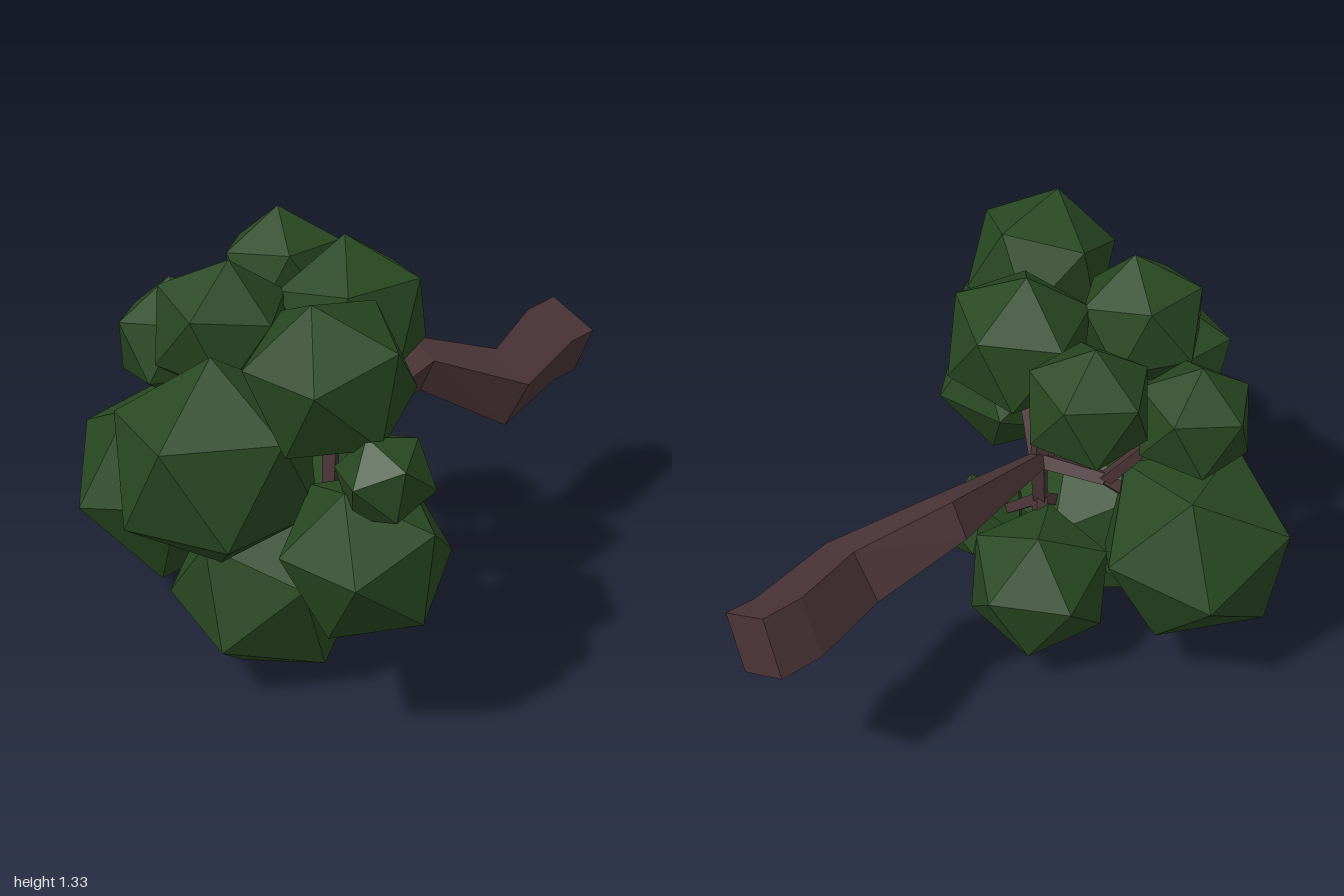
import * as THREE from 'three';

const leafMaterial = new THREE.MeshStandardMaterial({ color: 0x284721, flatShading: true });
const barkMaterial = new THREE.MeshStandardMaterial({ color: 0x4a3436, flatShading: true });
const V = (p) => new THREE.Vector3(...p);

// Rotation frame from a main direction and a second, roughly neighbouring one
function frame(a, b) {
  const x = a.clone().normalize();
  const y = b.clone().addScaledVector(x, -b.dot(x)).normalize();
  return new THREE.Matrix4().makeBasis(x, y, x.clone().cross(y));
}

// Icosahedron turned so that two neighbouring corners point along a and b
function leafClump(name, centre, radius, a, b) {
  const t = (1 + Math.sqrt(5)) / 2;
  const rest = frame(V([1, t, 0]), V([-1, t, 0])).invert();
  const geometry = new THREE.IcosahedronGeometry(radius, 0);
  geometry.applyMatrix4(frame(V(a), V(b)).multiply(rest));
  const mesh = new THREE.Mesh(geometry, leafMaterial);
  mesh.position.set(...centre);
  mesh.name = name;
  return mesh;
}

// Four-sided limb lofted through [x, y, z, radius] stations
function limb(name, stations) {
  const points = stations.map((s) => V(s.slice(0, 3)));
  const positions = [];
  const index = [];
  const last = points.length - 1;
  points.forEach((p, i) => {
    const tangent = points[Math.min(i + 1, last)].clone().sub(points[Math.max(i - 1, 0)]).normalize();
    const turn = new THREE.Quaternion().setFromUnitVectors(V([0, 0, 1]), tangent);
    for (let k = 0; k < 4; k++) {
      const angle = THREE.MathUtils.degToRad(20 + 90 * k);
      const corner = V([Math.cos(angle), Math.sin(angle), 0]).multiplyScalar(stations[i][3]);
      positions.push(...corner.applyQuaternion(turn).add(p).toArray());
      if (i < last) {
        const a = i * 4 + k, b = i * 4 + ((k + 1) % 4);
        index.push(a, b, b + 4, a, b + 4, a + 4);
      }
    }
  });
  const e = last * 4;
  index.push(0, 2, 1, 0, 3, 2, e, e + 1, e + 2, e, e + 2, e + 3);
  const geometry = new THREE.BufferGeometry();
  geometry.setAttribute('position', new THREE.Float32BufferAttribute(positions, 3));
  geometry.setIndex(index);
  geometry.computeVertexNormals();
  const mesh = new THREE.Mesh(geometry, barkMaterial);
  mesh.name = name;
  return mesh;
}

export function createModel() {
  const tree = new THREE.Group();
  tree.name = 'tree';

  // Crooked trunk, running forward from its cut end
  tree.add(limb('trunk', [
    [-0.025, 0.65, -1, 0.134],
    [-0.025, 0.643, -0.87, 0.134],
    [0.063, 0.613, -0.555, 0.127],
    [-0.07, 0.745, -0.28, 0.09],
    [0.02, 0.67, 0.22, 0.03],
  ]));

  // Foliage: name, centre, radius, two corner directions
  const clumps = [
    ['leftLowerFoliage', [-0.45, 0.477, 0.435], 0.335, [-0.29, 0.125, 0.1], [-0.24, -0.23, 0.08]],
    ['frontFoliage', [0.06, 0.775, 0.71], 0.325, [0.08, 0.14, 0.28], [-0.09, -0.14, 0.28]],
    ['bottomFoliage', [0.03, 0.298, 0.48], 0.31, [-0.07, -0.28, 0.05], [0.24, -0.19, 0]],
    ['rightMiddleFoliage', [0.51, 0.585, 0.56], 0.26, [-0.02, -0.235, -0.11], [0.2, -0.13, 0]],
    ['rightSmallFoliage', [0.59, 0.85, 0.57], 0.145, [0.05, 0.12, -0.09], [-0.03, 0.12, 0.07]],
    ['rightUpperFoliage', [0.385, 1.085, 0.57], 0.255, [0.01, 0.235, 0.08], [0, 0.18, -0.185]],
    ['topFoliage', [-0.09, 1.1, 0.54], 0.22, [0.04, 0.21, 0], [0.21, 0.05, 0]],
    ['leftUpperFoliage', [-0.42, 0.94, 0.425], 0.2, [-0.02, 0.19, 0], [-0.19, 0.065, 0]],
    ['backLeftFoliage', [-0.3, 1.1, 0.08], 0.208, [-0.02, 0.2, 0], [-0.19, 0.05, 0]],
    ['backTopFoliage', [0.1, 1.09, 0.185], 0.245, [-0.03, 0.23, 0], [0.2, 0.1, -0.1]],
    ['lowerSmallFoliage', [0.25, 0.31, 0.19], 0.16, [0.155, -0.01, 0], [0.08, 0.14, 0]],
    ['backLowerFoliage', [-0.1, 0.31, 0.085], 0.25, [-0.02, 0.05, -0.25], [-0.1, -0.19, -0.13]],
  ];
  clumps.forEach((c) => tree.add(leafClump(...c)));

  // Main branches fan out from the trunk tip to a fork, then twigs reach the foliage
  const hub = [0.02, 0.67, 0.2];
  const forks = [
    ['rightBranch', [0.25, 0.8, 0.36], [[0.52, 0.81, 0.52], [0.34, 0.98, 0.44], [0.44, 0.66, 0.46]]],
    ['leftBranch', [-0.18, 0.65, 0.3], [[-0.36, 0.9, 0.4], [-0.32, 0.54, 0.4]]],
    ['lowerBranch', [0.03, 0.5, 0.22], [[0.03, 0.38, 0.4], [0.2, 0.36, 0.2], [-0.06, 0.38, 0.12]]],
    ['upperBranch', [0.02, 0.82, 0.22], [[0.08, 1.02, 0.2], [-0.24, 1.03, 0.12]]],
    ['frontBranch', [0, 0.77, 0.32], [[0.05, 0.77, 0.55], [-0.07, 1.02, 0.42]]],
  ];
  for (const [name, fork, tips] of forks) {
    tree.add(limb(name, [[...hub, 0.032], [...fork, 0.027]]));
    tips.forEach((tip) => tree.add(limb(name + 'Twig', [[...fork, 0.027], [...tip, 0.02]])));
  }
  return tree;
}
